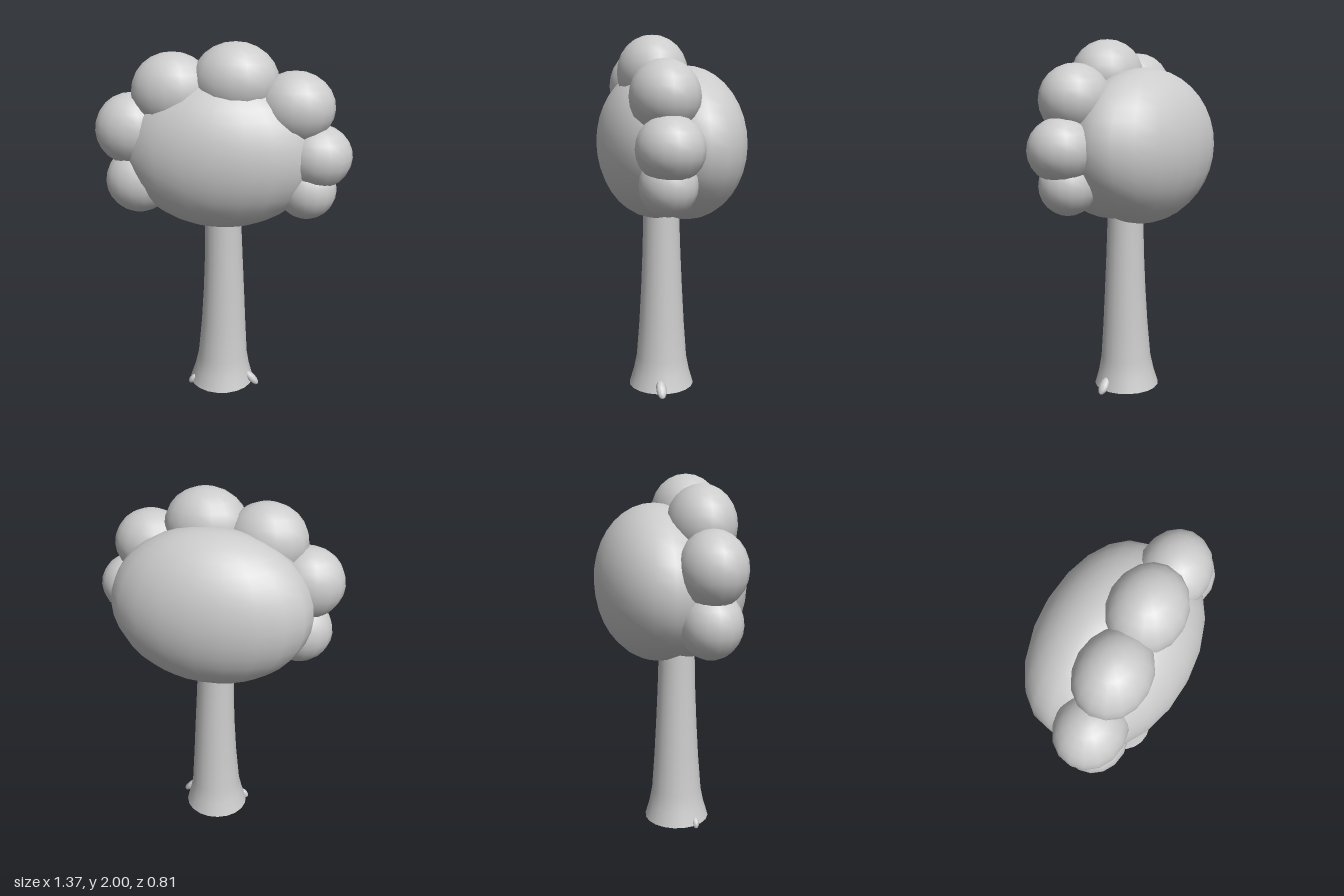
import * as THREE from 'three';

export function createModel() {
  const model = new THREE.Group();
  model.name = 'tree';
  const clay = new THREE.MeshStandardMaterial({ color: 0xcccccc });
  clay.name = 'pale grey';

  const add = (name, geometry, parent = model) => {
    const mesh = new THREE.Mesh(geometry, clay);
    mesh.name = name;
    parent.add(mesh);
    return mesh;
  };
  const ellipsoid = (name, center, radii, parent, segments = 18, rings = 14) => {
    const mesh = add(name, new THREE.SphereGeometry(1, segments, rings), parent);
    mesh.position.set(...center);
    mesh.scale.set(...radii);
    return mesh;
  };

  // Trunk: flared profile [radius, height]
  const profile = [
    [0.187, 0.02], [0.163, 0.1], [0.145, 0.19], [0.129, 0.4],
    [0.118, 0.6], [0.109, 0.8], [0.103, 1.0], [0.103, 1.12],
  ].map(([r, y]) => new THREE.Vector2(r, y));
  const trunkGeometry = new THREE.LatheGeometry(profile, 20);
  // Slight sideways bow of the trunk
  const pos = trunkGeometry.attributes.position;
  for (let i = 0; i < pos.count; i++) {
    const bow = 0.012 * (1 - ((pos.getY(i) - 0.65) / 0.6) ** 2);
    pos.setX(i, pos.getX(i) + bow - 0.015);
  }
  add('trunk', trunkGeometry).position.z = 0.05;
  const base = add('trunkBase', new THREE.CircleGeometry(0.187, 20));
  base.rotation.x = Math.PI / 2;
  base.position.set(-0.016, 0.02, 0.05);

  // Small root nubs around the base
  const roots = new THREE.Group();
  roots.name = 'roots';
  model.add(roots);
  ellipsoid('leftRoot', [0.17, 0.05, 0.09], [0.022, 0.055, 0.03], roots, 8, 6).rotation.z = 0.75;
  ellipsoid('rightRoot', [-0.18, 0.034, 0.125], [0.02, 0.034, 0.02], roots, 8, 6).rotation.z = -0.6;
  ellipsoid('backRoot', [-0.09, 0.022, -0.07], [0.02, 0.016, 0.025], roots, 8, 6);

  // Crown: two overlapping broad masses
  const crown = new THREE.Group();
  crown.name = 'crown';
  model.add(crown);
  ellipsoid('backFoliage', [-0.013, 1.423, -0.08], [0.548, 0.425, 0.328], crown, 20, 18);
  ellipsoid('frontFoliage', [-0.013, 1.423, 0.09], [0.53, 0.412, 0.315], crown, 20, 18);

  // Arch of leaf puffs: [x, y, rx, ry, rz]
  const puffs = [
    [-0.46, 1.263, 0.182, 0.18, 0.165],
    [-0.487, 1.54, 0.2, 0.195, 0.175],
    [-0.262, 1.74, 0.222, 0.206, 0.182],
    [0.067, 1.8, 0.226, 0.2, 0.19],
    [0.375, 1.672, 0.207, 0.188, 0.182],
    [0.497, 1.422, 0.184, 0.17, 0.176],
    [0.45, 1.24, 0.158, 0.157, 0.15],
  ];
  for (const [x, y, rx, ry, rz] of puffs) {
    ellipsoid('leafPuff', [x, y, 0.115], [rx, ry, rz], crown, 16, 12);
  }
  return model;
}
